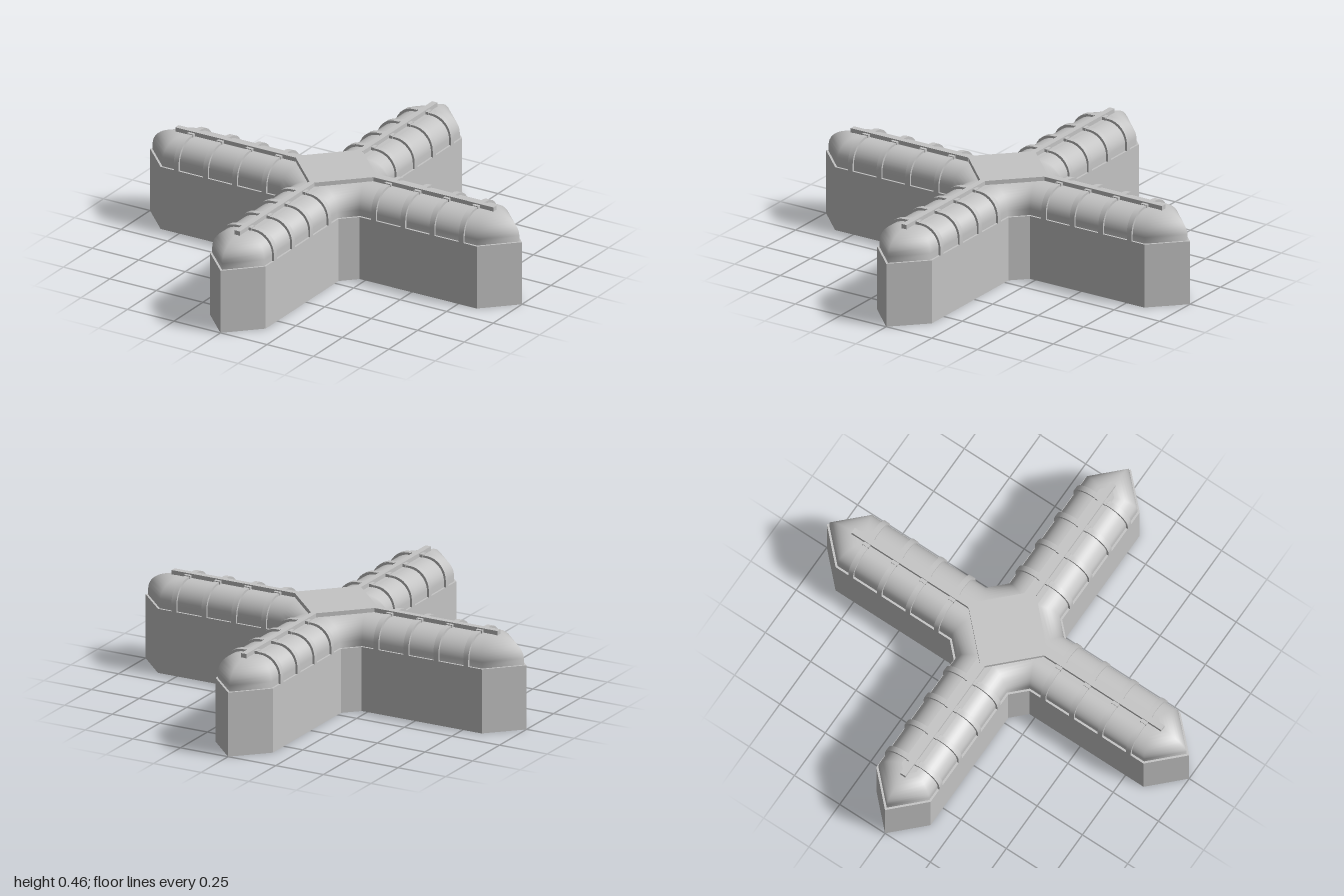
import * as THREE from 'three';
import { toCreasedNormals } from 'three/addons/utils/BufferGeometryUtils.js';

const EAVE = 0.31;
const HALF = 0.15;

// Cross-shaped plan with pointed arms and chamfered inner corners, inset by d
function outline(d) {
  const w = HALF - d;
  const tip = 1 - d * Math.SQRT2;
  const inner = 0.37 - d * Math.SQRT2 - w;
  const arm = [[inner, -w], [tip - w, -w], [tip, 0], [tip - w, w], [inner, w]];
  const pts = [];
  for (let k = 0; k < 4; k++) {
    const c = Math.round(Math.cos(k * Math.PI / 2));
    const s = Math.round(Math.sin(k * Math.PI / 2));
    for (const [x, z] of arm) pts.push(new THREE.Vector2(x * c - z * s, x * s + z * c));
  }
  return pts;
}

// Skin between stacked outlines, each given as [inset, height]
function loft(rings) {
  const pos = [], index = [];
  rings.forEach(([d, y]) => outline(d).forEach(p => pos.push(p.x, y, p.y)));
  const n = 20;
  for (let r = 0; r < rings.length - 1; r++) {
    for (let i = 0; i < n; i++) {
      const a = r * n + i, b = r * n + (i + 1) % n;
      index.push(a, a + n, b, b, a + n, b + n);
    }
  }
  const g = new THREE.BufferGeometry();
  g.setAttribute('position', new THREE.Float32BufferAttribute(pos, 3));
  g.setIndex(index);
  g.computeVertexNormals();
  return g;
}

function flat(g) {
  const f = g.toNonIndexed();
  f.computeVertexNormals();
  return f;
}

// Rounded roof section from eave to ridge, as [inset, height]
function roofProfile(steps) {
  const pts = [[0.01, EAVE]];
  for (let i = 0; i <= steps; i++) {
    const t = i / steps * Math.PI / 2;
    pts.push([0.01 + 0.1 * (1 - Math.cos(t)), EAVE + 0.03 + 0.095 * Math.sin(t)]);
  }
  return pts;
}

export function createModel() {
  const model = new THREE.Group();
  model.name = 'crossBuilding';
  const stone = new THREE.MeshStandardMaterial({ color: 0xc4c4c4, side: THREE.DoubleSide });
  stone.name = 'lightGrey';
  const add = (parent, name, geometry) => {
    const mesh = new THREE.Mesh(geometry, stone);
    mesh.name = name;
    parent.add(mesh);
    return mesh;
  };

  // Walls with a narrow ledge at the eave
  add(model, 'walls', flat(loft([[0, 0], [0, EAVE], [0.01, EAVE]])));

  // Underside with an octagonal opening
  const R = 0.22 / Math.cos(Math.PI / 8);
  const floor = new THREE.Shape(outline(0));
  const hole = [];
  for (let i = 0; i < 8; i++) {
    const a = (i + 0.5) * Math.PI / 4;
    hole.push(new THREE.Vector2(R * Math.cos(a), R * Math.sin(a)));
  }
  floor.holes.push(new THREE.Path(hole));
  add(model, 'underside', new THREE.ShapeGeometry(floor).rotateX(Math.PI / 2));

  // Tapering recess above the opening
  const recess = [[0, 0.3], [0.15, 0.3], [0.17, 0.22], [R, 0.12], [R, 0]]
    .map(([x, y]) => new THREE.Vector2(x, y));
  add(model, 'recess', flat(new THREE.LatheGeometry(recess, 8, Math.PI / 8)));

  // Vaulted roof
  const profile = roofProfile(10);
  const [topInset, topY] = profile[profile.length - 1];
  add(model, 'roof', loft(profile));
  add(model, 'roofTop', new THREE.ShapeGeometry(new THREE.Shape(outline(topInset)))
    .rotateX(-Math.PI / 2).translate(0, topY, 0));

  // Raised diamond plate over the crossing
  add(model, 'centrePlate', flat(new THREE.CylinderGeometry(0.222, 0.222, 0.035, 4)))
    .position.y = 0.4375;

  // Rib section: the roof section grown slightly outward
  const e = 0.01, ribDepth = 0.026;
  const side = roofProfile(8).map(([d, y]) => [HALF - d + e, y === EAVE ? y : y + e * (y - EAVE) / 0.125]);
  const section = new THREE.Shape([...side, ...side.slice().reverse().map(([x, y]) => [-x, y])]
    .map(([x, y]) => new THREE.Vector2(x, y)));
  const ribGeometry = toCreasedNormals(
    new THREE.ExtrudeGeometry(section, { depth: ribDepth, bevelEnabled: false })
      .translate(0, 0, -ribDepth / 2).rotateY(Math.PI / 2), 0.6);
  const ridgeGeometry = new THREE.BoxGeometry(0.645, 0.035, 0.028);
  const blockGeometry = new THREE.BoxGeometry(0.032, 0.03, 0.06);

  // Ridge beam and ribs on each arm
  for (let k = 0; k < 4; k++) {
    const arm = new THREE.Group();
    arm.name = 'armTrim';
    arm.rotation.y = k * Math.PI / 2;
    add(arm, 'ridgeBeam', ridgeGeometry).position.set(0.5325, 0.4375, 0);
    for (const x of [0.295, 0.452, 0.609, 0.766]) {
      add(arm, 'rib', ribGeometry).position.x = x;
      add(arm, 'ribBlock', blockGeometry).position.set(x, 0.434, 0);
    }
    model.add(arm);
  }
  return model;
}
